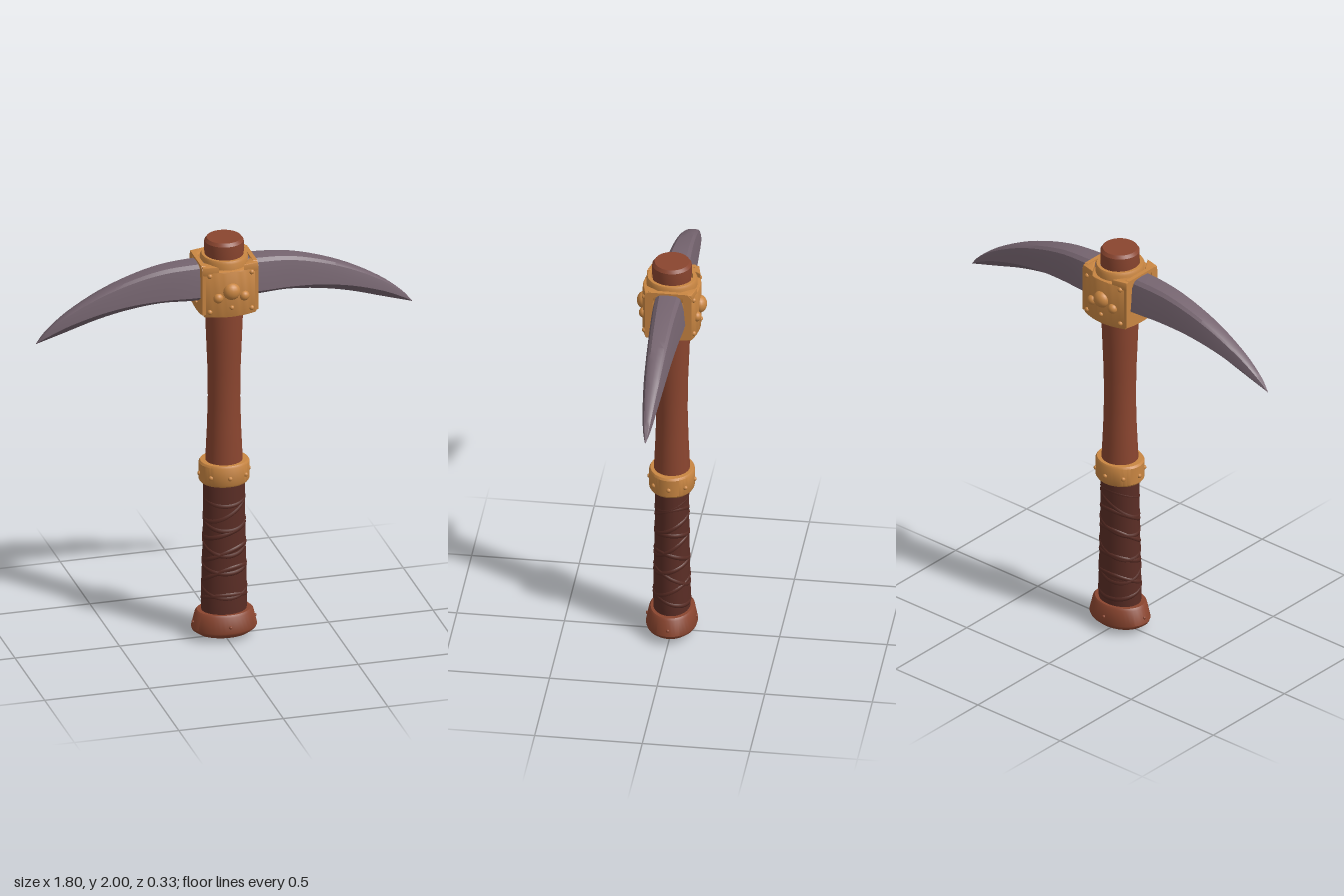
import * as THREE from 'three';
import { toCreasedNormals } from 'three/addons/utils/BufferGeometryUtils.js';

const mat = (name, color) => {
  const m = new THREE.MeshStandardMaterial({ color });
  m.name = name;
  return m;
};

export function createModel() {
  const wood = mat('wood', 0x8a452f);
  const brass = mat('brass', 0xc98642);
  const leather = mat('leather', 0x5a2d25);
  const steel = mat('steel', 0x75646f);

  const model = new THREE.Group();
  model.name = 'pickaxe';

  const add = (name, geometry, material, parent = model) => {
    const mesh = new THREE.Mesh(geometry, material);
    mesh.name = name;
    parent.add(mesh);
    return mesh;
  };

  // Turned part with an oval section; profile runs upward as [radius, y]
  const turned = (name, profile, depth, material) => {
    const g = new THREE.LatheGeometry(profile.map(p => new THREE.Vector2(...p)), 40);
    g.scale(1, 1, depth);
    return add(name, toCreasedNormals(g, 0.6), material);
  };

  const group = name => {
    const g = new THREE.Group();
    g.name = name;
    model.add(g);
    return g;
  };

  // Shaft, pommel, grip and band
  turned('shaft', [[0.088, 0.8], [0.086, 0.9], [0.079, 1.05], [0.075, 1.2], [0.077, 1.35],
    [0.083, 1.5], [0.089, 1.65], [0.089, 1.9]], 0.96, wood);
  turned('shaftTop', [[0.085, 1.88], [0.091, 1.93], [0.091, 1.985], [0.08, 2], [0, 2]], 1, wood);
  turned('pommel', [[0, 0], [0.07, 0.006], [0.125, 0.022], [0.15, 0.04], [0.155, 0.052],
    [0.137, 0.125], [0.127, 0.135], [0, 0.135]], 0.77, wood);
  turned('grip', [[0.106, 0.12], [0.108, 0.2], [0.104, 0.35], [0.1, 0.5], [0.098, 0.65],
    [0.099, 0.79]], 0.8, leather);
  turned('band', [[0.09, 0.78], [0.111, 0.78], [0.118, 0.79], [0.118, 0.875], [0.111, 0.885],
    [0.08, 0.885]], 0.89, brass);

  // Crossed leather straps, each a tilted flattened loop around the grip
  const straps = group('gripStraps');
  const gripRadius = y => 0.109 - 0.0155 * Math.min(1, y / 0.75);
  for (let i = 0; i < 10; i++) {
    const y0 = 0.2 + 0.056 * i;
    const phase = i % 2 ? Math.PI : 0.25 * i;
    const tilt = 0.03 + 0.012 * (i % 3);
    const points = [];
    for (let k = 0; k < 24; k++) {
      const a = k / 24 * Math.PI * 2;
      const y = y0 + tilt * Math.sin(a + phase);
      const r = gripRadius(y);
      points.push(new THREE.Vector3(r * Math.cos(a), y / 2.5, r * 0.8 * Math.sin(a)));
    }
    const loop = new THREE.TubeGeometry(new THREE.CatmullRomCurve3(points, true), 48, 0.005, 6, true);
    loop.scale(1, 2.5, 1);
    add('strap', loop, leather, straps);
  }

  // Rivets around the band and the pommel
  const ringOfRivets = (name, count, y, rx, rz, size, material) => {
    const g = group(name);
    for (let i = 0; i < count; i++) {
      const a = i / count * Math.PI * 2;
      add('rivet', new THREE.SphereGeometry(size, 10, 8), material, g)
        .position.set(rx * Math.sin(a), y, rz * Math.cos(a));
    }
  };
  ringOfRivets('bandRivets', 8, 0.825, 0.117, 0.104, 0.011, brass);
  ringOfRivets('pommelRivets', 4, 0.08, 0.148, 0.114, 0.008, wood);

  // Head socket: a block with bowed front and back
  const upright = (shape, y, height, bevel) => {
    const g = new THREE.ExtrudeGeometry(shape, {
      depth: height - 2 * bevel, bevelEnabled: true, bevelSize: bevel,
      bevelThickness: bevel, bevelOffset: -bevel, bevelSegments: 2, curveSegments: 12,
    });
    g.rotateX(-Math.PI / 2).translate(0, y + bevel, 0);
    return toCreasedNormals(g, 0.5);
  };
  const socket = group('headSocket');
  const body = new THREE.Shape();
  body.moveTo(-0.125, -0.105);
  body.quadraticCurveTo(0, -0.162, 0.125, -0.105);
  body.lineTo(0.125, 0.105);
  body.quadraticCurveTo(0, 0.162, -0.125, 0.105);
  body.closePath();
  add('socketBody', upright(body, 1.65, 0.23, 0.008), brass, socket);

  // Raised corners on top of the socket
  for (const sx of [1, -1]) for (const sz of [1, -1]) {
    const corner = [[0.132, 0.108], [0.132, 0.025], [0.1, 0.06], [0.06, 0.125]]
      .map(([x, z]) => new THREE.Vector2(x * sx, z * sz));
    add('socketCorner', upright(new THREE.Shape(corner), 1.86, 0.043, 0.004), brass, socket);
  }

  // Collar around the shaft
  turned('headCollar', [[0.108, 1.86], [0.11, 1.91], [0.104, 1.922], [0.09, 1.922], [0.088, 1.9]], 1.08, brass);

  // Frames where the blade leaves the socket
  const frame = new THREE.Shape();
  frame.moveTo(-0.108, 1.665);
  frame.quadraticCurveTo(0, 1.64, 0.108, 1.665);
  frame.lineTo(0.108, 1.885);
  frame.lineTo(0.09, 1.905);
  frame.lineTo(-0.09, 1.905);
  frame.lineTo(-0.108, 1.885);
  frame.closePath();
  const opening = [[-0.08, 1.73], [0, 1.685], [0.08, 1.73], [0.068, 1.89], [-0.068, 1.89]];
  frame.holes.push(new THREE.Path(opening.map(p => new THREE.Vector2(...p))));
  for (const side of [1, -1]) {
    const g = new THREE.ExtrudeGeometry(frame, { depth: 0.02, bevelEnabled: false });
    g.rotateY(side * Math.PI / 2).translate(side * 0.114, 0, 0);
    add('bladeFrame', toCreasedNormals(g, 0.5), brass, socket);
  }

  // Domes and rivets on the front and back: [x, y, z, radius, flattening]
  const studs = [[0, 1.78, 0.13, 0.041, 0.8], [0.062, 1.75, 0.124, 0.024, 0.9], [-0.062, 1.75, 0.124, 0.024, 0.9],
    [0, 1.7, 0.133, 0.011, 1], [0.1, 1.86, 0.114, 0.012, 1], [-0.1, 1.86, 0.114, 0.012, 1],
    [0.1, 1.68, 0.114, 0.012, 1], [-0.1, 1.68, 0.114, 0.012, 1]];
  for (const s of [1, -1]) for (const [x, y, z, r, flat] of studs) {
    const stud = add('stud', new THREE.SphereGeometry(r, 16, 12), brass, socket);
    stud.position.set(x, y, z * s);
    stud.scale.z = flat;
  }

  // Blade stations along one arm: x, top, half thickness, ridge, keel
  const arm = [[0, 1.897, 0.082, 1.745, 1.695], [0.15, 1.896, 0.08, 1.742, 1.695], [0.3, 1.885, 0.07, 1.742, 1.702],
    [0.45, 1.848, 0.06, 1.731, 1.688], [0.6, 1.79, 0.049, 1.702, 1.658], [0.75, 1.707, 0.033, 1.652, 1.613],
    [0.85, 1.628, 0.017, 1.602, 1.583], [0.9, 1.57, 0.001, 1.569, 1.568]];
  const stations = [...arm.slice(1).reverse().map(([x, ...r]) => [-x, ...r]), ...arm];
  const upper = new THREE.CatmullRomCurve3(stations.map(s => new THREE.Vector3(s[0], s[1], s[2])), false, 'catmullrom');
  const lower = new THREE.CatmullRomCurve3(stations.map(s => new THREE.Vector3(s[0], s[3], s[4])), false, 'catmullrom');
  const steps = 56, verts = [], index = [];
  for (let i = 0; i <= steps; i++) {
    const { x, y: top, z: w } = upper.getPoint(i / steps);
    const { y: ridge, z: keel } = lower.getPoint(i / steps);
    const h = top - ridge;
    const half = [[0.5 * w, top - 0.02 * h], [0.72 * w, top - 0.12 * h], [0.88 * w, top - 0.5 * h], [w, ridge]];
    const section = [[0, top], ...half, [0, keel], ...half.map(([z, y]) => [-z, y]).reverse()];
    section.forEach(([z, y]) => verts.push(x, y, z));
  }
  const n = 10;
  for (let i = 0; i < steps; i++) for (let j = 0; j < n; j++) {
    const a = i * n + j, b = i * n + (j + 1) % n;
    index.push(a, b, a + n, b, b + n, a + n);
  }
  const blade = new THREE.BufferGeometry();
  blade.setAttribute('position', new THREE.Float32BufferAttribute(verts, 3));
  blade.setIndex(index);
  add('blade', toCreasedNormals(blade, 0.6), steel);

  return model;
}
